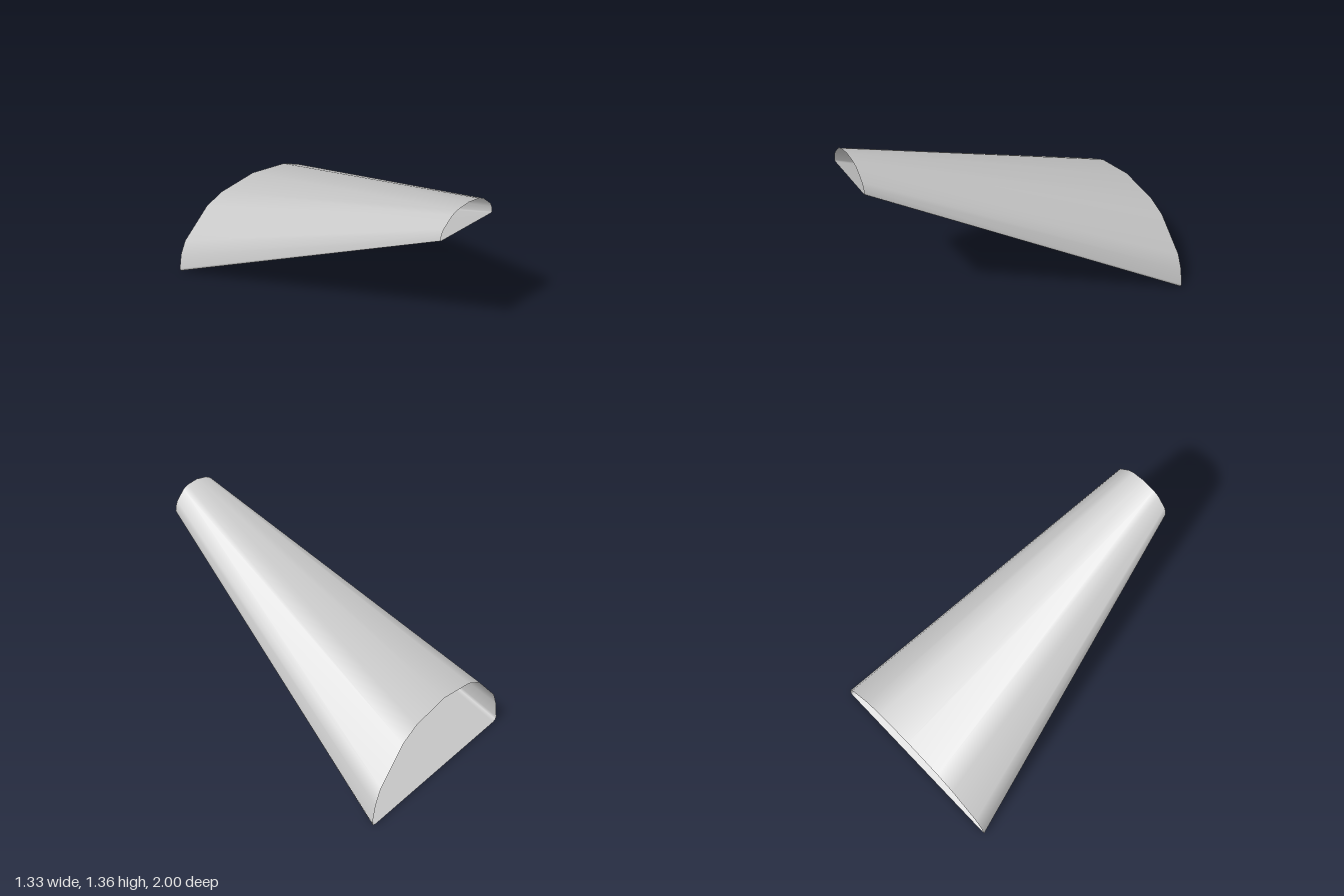
import * as THREE from 'three';

// Half of the arched cross-section in unit half-widths, from floor corner to crown
const HALF = [[0.95, 0], [0.99, 0.01], [1, 0.04], [0.965, 0.215], [0.9, 0.36], [0.6, 0.66], [0.41, 0.75]];

// Closed loop: right-hand half, crown, mirrored half
const PROFILE = [...HALF, [0, 0.81], ...HALF.map(([x, y]) => [-x, y]).reverse()];

// Sections of the tapering tube, rear to front
const SECTIONS = [
  { z: -1, y: 0, scale: 0.665 },
  { z: 1, y: 1.2, scale: 0.202 },
];

// Join the closed sections into an open-ended shell
function loft(sections, profile) {
  const positions = [];
  const index = [];
  const n = profile.length;
  for (const s of sections) {
    for (const [x, y] of profile) positions.push(x * s.scale, s.y + y * s.scale, s.z);
  }
  for (let r = 0; r < sections.length - 1; r++) {
    for (let i = 0; i < n; i++) {
      const j = (i + 1) % n;
      const a = r * n + i, b = r * n + j;
      index.push(a, b, b + n, a, b + n, a + n);
    }
  }
  const geometry = new THREE.BufferGeometry();
  geometry.setAttribute('position', new THREE.Float32BufferAttribute(positions, 3));
  geometry.setIndex(index);
  geometry.computeVertexNormals();
  return geometry;
}

export function createModel() {
  const group = new THREE.Group();
  group.name = 'taperedChute';

  // Sloping arched tube with a flat floor, open at both ends
  const material = new THREE.MeshStandardMaterial({ color: 0xcccccc, side: THREE.DoubleSide });
  const shell = new THREE.Mesh(loft(SECTIONS, PROFILE), material);
  shell.name = 'archedShell';
  group.add(shell);

  return group;
}
